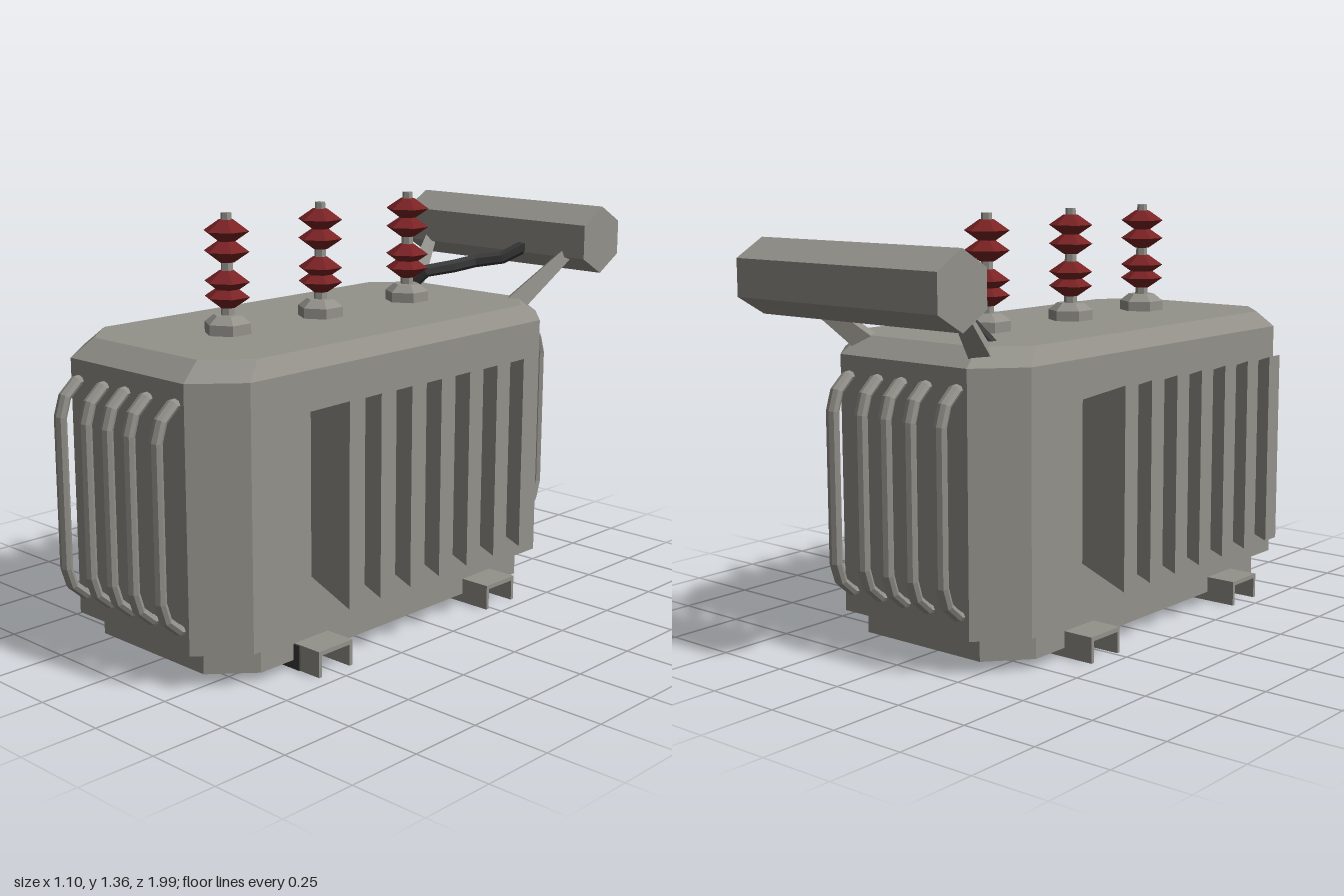
import * as THREE from 'three';

const V = (x, y, z) => new THREE.Vector3(x, y, z);

// Curve that visits each point exactly, so tubes keep sharp bends
class Polyline extends THREE.Curve {
  constructor(points) { super(); this.points = points; }
  getPoint(t) { return this.points[Math.round(t * (this.points.length - 1))].clone(); }
  getPointAt(t) { return this.getPoint(t); }
  getTangentAt(t) {
    const p = this.points, i = Math.round(t * (p.length - 1));
    const dir = (a, b) => p[b].clone().sub(p[a]).normalize();
    const d = V(0, 0, 0);
    if (i > 0) d.add(dir(i - 1, i));
    if (i < p.length - 1) d.add(dir(i, i + 1));
    return d.normalize();
  }
}

// Faceted normals
function facet(geo) {
  const g = geo.index ? geo.toNonIndexed() : geo;
  g.computeVertexNormals();
  return g;
}

function tube(points, radius, sides) {
  return new THREE.TubeGeometry(new Polyline(points), points.length - 1, radius, sides, false);
}

// Chamfered rectangular ring of the tank, at a height and scale
const CZ = 0.10;
function ring(y, s) {
  const a = 0.385 * s, b = 0.26 * s, c = 0.81 * s, d = 0.67 * s;
  return [[b, c], [a, d], [a, -d], [b, -c], [-b, -c], [-a, -d], [-a, d], [-b, c]]
    .map(([x, z]) => V(x, y, CZ + z));
}

// Walls between successive rings, with optional flat top
function loft(rings, cap) {
  const pos = [];
  const tri = (...p) => p.forEach(v => pos.push(v.x, v.y, v.z));
  for (let k = 0; k < rings.length - 1; k++) {
    const lo = rings[k], hi = rings[k + 1];
    lo.forEach((p, i) => {
      const j = (i + 1) % lo.length;
      tri(p, lo[j], hi[j]);
      tri(p, hi[j], hi[i]);
    });
  }
  if (cap) {
    const top = rings[rings.length - 1];
    for (let i = 1; i < top.length - 1; i++) tri(top[0], top[i], top[i + 1]);
  }
  const g = new THREE.BufferGeometry();
  g.setAttribute('position', new THREE.Float32BufferAttribute(pos, 3));
  return g;
}

export function createModel() {
  const model = new THREE.Group();
  model.name = 'transformer';

  const mat = (name, color) => {
    const m = new THREE.MeshStandardMaterial({ color, side: THREE.DoubleSide });
    m.name = name;
    return m;
  };
  const grey = mat('greyPaint', 0x93918a);
  const red = mat('redCeramic', 0x7a2224);
  const dark = mat('darkPipe', 0x3a3a3b);

  const add = (name, geo, material, parent = model) => {
    const mesh = new THREE.Mesh(facet(geo), material);
    mesh.name = name;
    parent.add(mesh);
    return mesh;
  };

  // Tank, open below, with a narrower skirt
  add('tank', loft([ring(0.115, 0.91), ring(0.115, 1), ring(0.93, 1), ring(0.985, 0.91)], true), grey);
  add('skirt', loft([ring(0.03, 0.91), ring(0.115, 0.91)], false), grey);

  // Skid channels, open downwards
  for (const z of [0.498, -0.298]) {
    const skid = new THREE.Group();
    skid.name = 'skidChannel';
    skid.position.z = z;
    model.add(skid);
    add('channelWeb', new THREE.BoxGeometry(0.91, 0.014, 0.144).translate(0, 0.076, 0), grey, skid);
    for (const s of [-1, 1]) {
      add('channelFlange', new THREE.BoxGeometry(0.91, 0.07, 0.012).translate(0, 0.035, s * 0.066), grey, skid);
    }
  }
  add('skidPlate', new THREE.BoxGeometry(0.105, 0.08, 0.006).translate(0.322, 0.041, 0.572), dark);

  // Cooling fins: taller and thicker towards the outside
  for (const side of [-1, 1]) {
    const radiator = new THREE.Group();
    radiator.name = side > 0 ? 'leftRadiator' : 'rightRadiator';
    model.add(radiator);
    for (let i = 0; i < 7; i++) {
      const g = new THREE.BoxGeometry(0.22, 0.63, 0.065);
      const p = g.attributes.position;
      for (let k = 0; k < p.count; k++) {
        if (p.getX(k) * side < 0) {
          p.setY(k, p.getY(k) * 0.746);
          p.setZ(k, p.getZ(k) * 0.7);
        }
      }
      g.translate(side * 0.44, 0.55, 0.506 - i * 0.1347);
      add('coolingFin', g, grey, radiator);
    }
    add('finTiePlate', new THREE.BoxGeometry(0.016, 0.535, 0.81)
      .translate(side * 0.452, 0.543, CZ + 0.002), grey, radiator);
  }

  // Bent cooling tubes at both ends
  const bend = [[0.76, 0.873], [0.82, 0.865], [0.865, 0.825], [0.884, 0.765],
    [0.884, 0.29], [0.865, 0.23], [0.82, 0.19], [0.76, 0.182]];
  for (const end of [-1, 1]) {
    for (const x of [-0.222, -0.1, 0, 0.1, 0.222]) {
      const g = tube(bend.map(([z, y]) => V(0, y, CZ + end * z)), 0.017, 8);
      add(end > 0 ? 'frontTube' : 'backTube', g.scale(1.4, 1, 1).translate(x, 0, 0), grey);
    }
  }

  // Bushings: base, rod and double-cone discs
  const lathe = pts => new THREE.LatheGeometry(pts.map(([r, y]) => new THREE.Vector2(r, y)), 6);
  for (const z of [0.505, 0.1, -0.322]) {
    const bushing = new THREE.Group();
    bushing.name = 'bushing';
    bushing.position.z = z;
    model.add(bushing);
    add('bushingBase', lathe([[0.075, 0.98], [0.075, 1.018], [0.045, 1.042], [0, 1.042]]), grey, bushing);
    add('bushingRod', new THREE.CylinderGeometry(0.017, 0.022, 0.33, 6).translate(0, 1.19, 0), grey, bushing);
    add('bushingTip', new THREE.CylinderGeometry(0.014, 0.014, 0.03, 6).translate(0, 1.34, 0), grey, bushing);
    for (const y of [1.098, 1.145, 1.238, 1.3]) {
      add('bushingDisc', lathe([[0, y - 0.034], [0.024, y - 0.034], [0.073, y], [0.024, y + 0.034], [0, y + 0.034]]),
        red, bushing);
    }
  }

  // Oil conservator drum
  add('conservator', new THREE.CylinderGeometry(0.116, 0.116, 0.81, 6)
    .rotateZ(Math.PI / 2).rotateX(Math.PI / 2).translate(0, 1.175, -0.884), grey);

  // Tapered drum supports
  for (const s of [-1, 1]) {
    const a = V(s * 0.225, 0.94, -0.6), b = V(s * 0.325, 1.15, -0.84);
    const d = b.clone().sub(a);
    const strut = add('drumSupport', new THREE.CylinderGeometry(0.025, 0.048, d.length(), 4), grey);
    strut.position.copy(a).add(b).multiplyScalar(0.5);
    strut.quaternion.setFromUnitVectors(V(0, 1, 0), d.normalize());
  }

  // Oil pipe from tank to drum
  const pipe = [V(-0.175, 0.97, -0.505), V(-0.1, 1.05, -0.535), V(-0.04, 1.065, -0.62),
    V(0, 1.08, -0.69), V(0.08, 1.095, -0.745), V(0.15, 1.145, -0.81)];
  add('oilPipe', tube(pipe, 0.023, 6), dark);

  return model;
}
